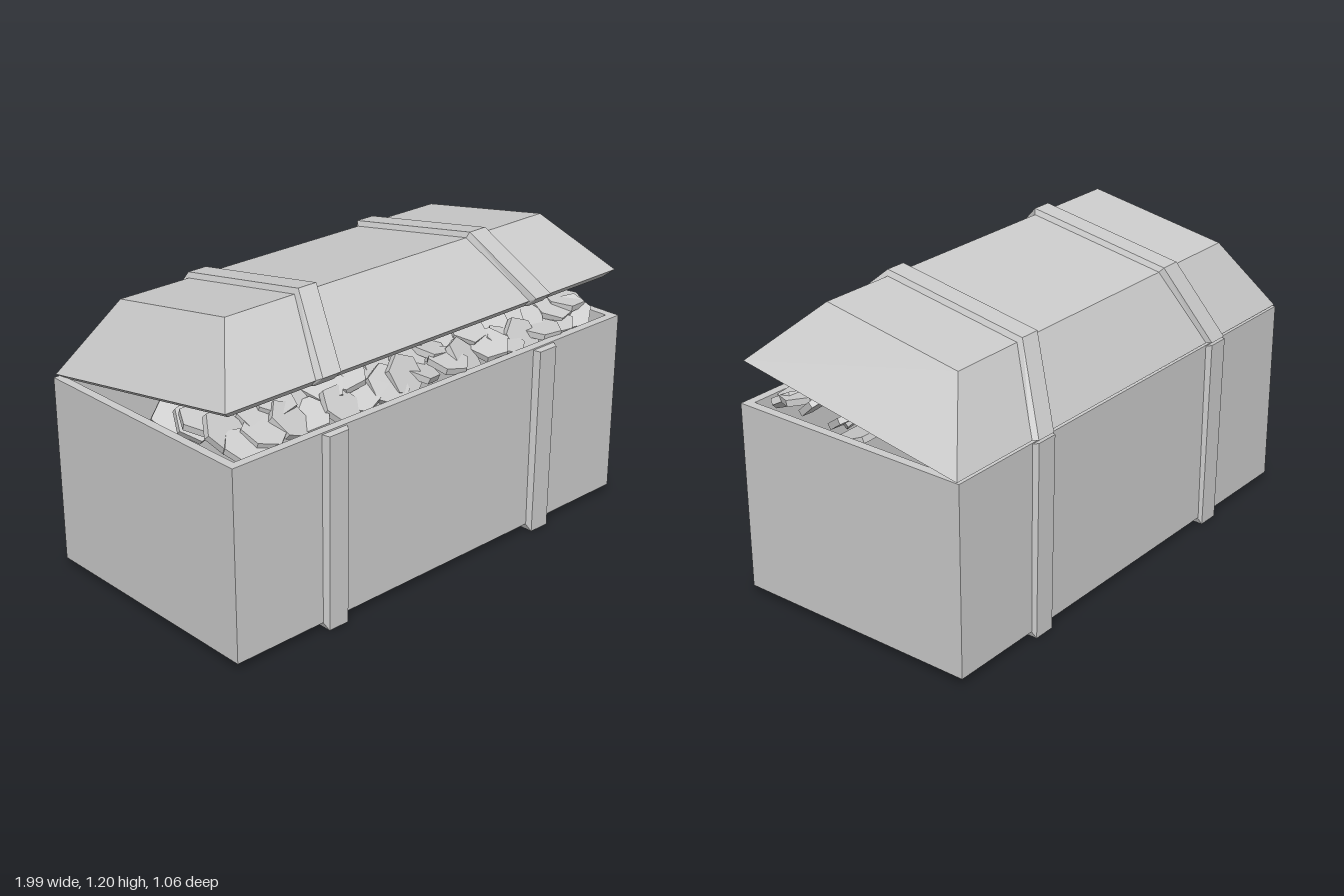
import * as THREE from 'three';

const material = new THREE.MeshStandardMaterial({ color: 0xcccccc, flatShading: true });

// Skin a row of four-cornered sections and close both ends
function loft(name, sections) {
  const pos = [];
  const quad = (a, b, c, d) => pos.push(...a, ...b, ...c, ...a, ...c, ...d);
  for (let s = 0; s < sections.length - 1; s++) {
    const lo = sections[s], hi = sections[s + 1];
    for (let i = 0; i < 4; i++) {
      const j = (i + 1) % 4;
      quad(lo[i], lo[j], hi[j], hi[i]);
    }
  }
  const first = sections[0], last = sections[sections.length - 1];
  quad(first[3], first[2], first[1], first[0]);
  quad(last[0], last[1], last[2], last[3]);
  const geo = new THREE.BufferGeometry();
  geo.setAttribute('position', new THREE.Float32BufferAttribute(pos, 3));
  geo.computeVertexNormals();
  const mesh = new THREE.Mesh(geo, material);
  mesh.name = name;
  return mesh;
}

// Level rectangle at height y
const rect = (halfX, z0, z1, y) => [
  [-halfX, y, z1], [halfX, y, z1], [halfX, y, z0], [-halfX, y, z0],
];

// Strap with bevelled sides; rows are [x, base y, base z, outer y, outer z]
function strap(name, rows, baseHalf, outerHalf) {
  return loft(name, rows.map(([x, by, bz, oy, oz]) => [
    [x - outerHalf, oy, oz], [x + outerHalf, oy, oz],
    [x + baseHalf, by, bz], [x - baseHalf, by, bz],
  ]));
}

// Small seeded generator for the coin heap
function seeded(seed) {
  return () => {
    seed = (seed * 1664525 + 1013904223) % 4294967296;
    return seed / 4294967296;
  };
}

export function createModel() {
  const model = new THREE.Group();
  model.name = 'treasureChest';

  // Open box with thin walls
  const box = loft('box', [
    rect(0.99, -0.51, 0.505, 0.03),
    rect(0.99, -0.51, 0.505, 0.78),
    rect(0.955, -0.475, 0.47, 0.78),
    rect(0.955, -0.475, 0.47, 0.07),
  ]);
  box.position.x = -0.005;
  model.add(box);

  // Hollow lid, hinged along the back edge and tipped open
  const lid = new THREE.Group();
  lid.name = 'lid';
  lid.position.set(0.005, 0.79, -0.51);
  lid.rotation.x = -0.172;
  lid.add(loft('lidShell', [
    rect(0.77, 0.22, 0.77, 0.225),
    rect(0.955, 0.035, 0.955, -0.025),
    rect(0.99, 0, 0.99, 0),
    rect(0.795, 0.2, 0.8, 0.255),
  ]));
  model.add(lid);

  // Two straps around the box and two over the lid
  for (const side of [-1, 1]) {
    const x = side * 0.54;
    model.add(strap('boxStrap', [
      [x, 0.775, -0.505, 0.78, -0.53],
      [x, 0.035, -0.505, 0, -0.522],
      [x, 0.035, 0.5, 0, 0.525],
      [x, 0.775, 0.5, 0.77, 0.53],
    ], 0.06, 0.045));
    const xt = side * 0.43;
    lid.add(strap('lidStrap', [
      [x, -0.022, 0.965, -0.024, 0.97],
      [x, 0, 0.985, 0.008, 1.015],
      [xt, 0.25, 0.797, 0.275, 0.812],
      [xt, 0.25, 0.203, 0.275, 0.188],
      [x, 0, 0.005, 0.005, -0.02],
    ], 0.055, 0.042));
  }

  // Heap of six-sided coins spilling up towards the front
  const coins = new THREE.Group();
  coins.name = 'coins';
  const coinGeo = new THREE.CylinderGeometry(0.085, 0.085, 0.025, 6);
  const rnd = seeded(7);
  const rows = 5, perRow = 17;
  for (let r = 0; r < rows; r++) {
    const z = 0.04 + r * 0.09;
    const height = [0.78, 0.81, 0.84, 0.85, 0.81][r];
    for (let i = 0; i < perRow; i++) {
      const x = -0.86 + (1.72 * i) / (perRow - 1);
      const coin = new THREE.Mesh(coinGeo, material);
      coin.name = 'coin';
      coin.position.set(
        x + (rnd() - 0.5) * 0.06,
        height - 0.03 * Math.abs(x) + (rnd() - 0.5) * 0.03,
        Math.min(0.4, z + (rnd() - 0.5) * 0.06),
      );
      coin.rotation.set(0.1 + rnd() * 0.75, rnd() * Math.PI, (rnd() - 0.5) * 0.7);
      coins.add(coin);
    }
  }
  model.add(coins);

  return model;
}
